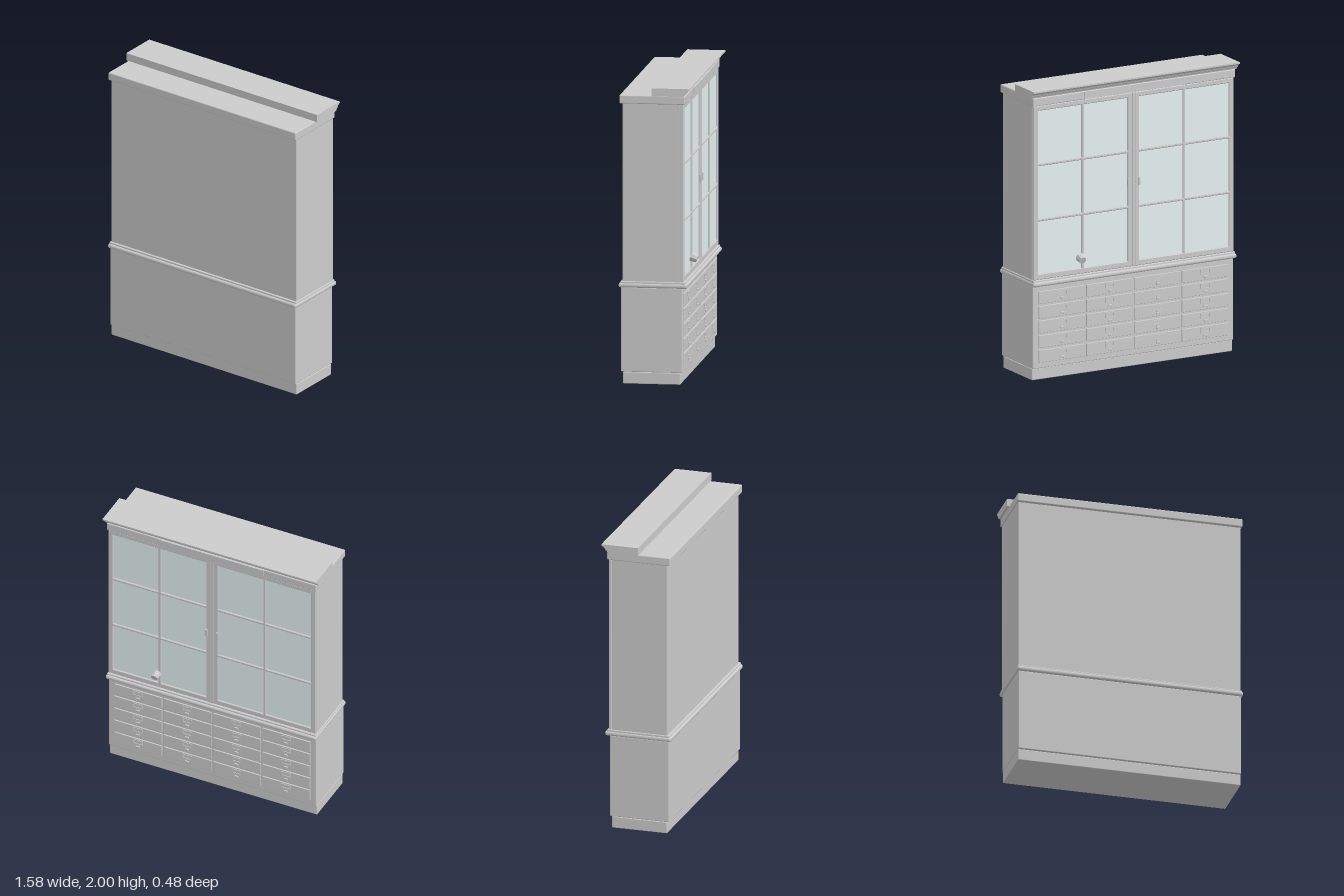
import * as THREE from 'three';
import { RoundedBoxGeometry } from 'three/addons/geometries/RoundedBoxGeometry.js';

const wood = new THREE.MeshStandardMaterial({ color: 0xcccccc });
const glass = new THREE.MeshStandardMaterial({ color: 0xe6f2f2 });

function add(parent, name, geometry, material = wood) {
  const mesh = new THREE.Mesh(geometry, material);
  mesh.name = name;
  parent.add(mesh);
  return mesh;
}

// Block given by its x, y and z ranges, with softened edges when r > 0
function block(parent, name, [x0, x1], [y0, y1], [z0, z1], r = 0, material = wood) {
  const size = [x1 - x0, y1 - y0, z1 - z0];
  const geometry = r ? new RoundedBoxGeometry(...size, 2, r) : new THREE.BoxGeometry(...size);
  const mesh = add(parent, name, geometry, material);
  mesh.position.set((x0 + x1) / 2, (y0 + y1) / 2, (z0 + z1) / 2);
  return mesh;
}

function rectangle(target, x0, x1, y0, y1) {
  target.moveTo(x0, y0).lineTo(x1, y0).lineTo(x1, y1).lineTo(x0, y1).closePath();
  return target;
}

// Glazed door, two panes wide and three high, centred on its own x
function makeDoor() {
  const door = new THREE.Group();
  door.name = 'door';
  const half = 0.379, stile = 0.035, bar = 0.018;
  const bottom = 0.692, top = 1.888, low = 0.73, high = 1.855;
  const frame = rectangle(new THREE.Shape(), -half, half, bottom, top);
  const paneW = (2 * (half - stile) - bar) / 2;
  const paneH = (high - low - 2 * bar) / 3;
  for (let c = 0; c < 2; c++) {
    for (let r = 0; r < 3; r++) {
      const x = -half + stile + c * (paneW + bar);
      const y = low + r * (paneH + bar);
      frame.holes.push(rectangle(new THREE.Path(), x, x + paneW, y, y + paneH));
    }
  }
  const geometry = new THREE.ExtrudeGeometry(frame, {
    depth: 0.014, bevelEnabled: true, bevelThickness: 0.004, bevelSize: 0.004,
    bevelOffset: -0.004, bevelSegments: 1,
  });
  add(door, 'doorFrame', geometry).position.z = -0.193;
  block(door, 'doorGlass', [-half + 0.02, half - 0.02], [low - 0.01, high + 0.01], [-0.186, -0.18], 0, glass);
  return door;
}

// Drawer front with a label holder and a small pull below it
function makeDrawer(width, height) {
  const drawer = new THREE.Group();
  drawer.name = 'drawer';
  const w = width / 2, h = height / 2;
  block(drawer, 'drawerFront', [-w, w], [-h, h], [-0.007, 0.008], 0.003);
  const holder = rectangle(new THREE.Shape(), -0.036, 0.036, 0, 0.034);
  holder.holes.push(rectangle(new THREE.Path(), -0.03, 0.03, 0.006, 0.028));
  add(drawer, 'labelHolder', new THREE.ExtrudeGeometry(holder, { depth: 0.006, bevelEnabled: false }))
    .position.z = -0.011;
  block(drawer, 'pullPlate', [-0.01, 0.01], [-0.03, 0.002], [-0.01, -0.006]);
  block(drawer, 'pull', [-0.014, 0.014], [-0.026, -0.012], [-0.018, -0.009], 0.003);
  return drawer;
}

export function createModel() {
  const cabinet = new THREE.Group();
  cabinet.name = 'cabinet';

  // Carcass
  block(cabinet, 'plinth', [-0.768, 0.768], [0, 0.08], [-0.175, 0.212], 0.006);
  block(cabinet, 'lowerCase', [-0.769, 0.769], [0.08, 0.65], [-0.188, 0.225], 0.006);
  block(cabinet, 'upperCase', [-0.768, 0.768], [0.68, 1.9], [-0.176, 0.214], 0.006);

  // Waist moulding: a thick bead with a thinner fillet on top
  block(cabinet, 'waistBead', [-0.78, 0.78], [0.648, 0.68], [-0.221, 0.241], 0.014);
  block(cabinet, 'waistFillet', [-0.774, 0.774], [0.668, 0.692], [-0.208, 0.228], 0.006);

  // Frieze with a slightly raised middle board
  block(cabinet, 'frieze', [-0.776, 0.776], [1.89, 1.947], [-0.206, 0.235], 0.007);
  block(cabinet, 'friezeBoard', [-0.385, 0.385], [1.894, 1.944], [-0.212, -0.19]);

  // Cornice: moulded profile swept along the width
  const profile = new THREE.Shape();
  profile.moveTo(-0.015, 1.946).lineTo(0.198, 1.946).lineTo(0.203, 1.957).lineTo(0.212, 1.962);
  profile.quadraticCurveTo(0.218, 1.98, 0.232, 1.986);
  profile.lineTo(0.241, 1.99).lineTo(0.241, 2).lineTo(-0.015, 2).closePath();
  const cornice = add(cabinet, 'cornice', new THREE.ExtrudeGeometry(profile, {
    depth: 1.58, bevelEnabled: false, curveSegments: 6,
  }));
  cornice.rotation.y = Math.PI / 2;
  cornice.position.x = -0.79;

  // Pair of doors with lock plates beside the meeting strip
  for (const side of [-1, 1]) {
    const door = makeDoor();
    door.position.x = side * 0.388;
    cabinet.add(door);
    block(cabinet, 'doorLock', [side * 0.04 - 0.008, side * 0.04 + 0.008], [1.245, 1.3], [-0.206, -0.194], 0.003);
  }
  block(cabinet, 'meetingStrip', [-0.011, 0.011], [0.692, 1.888], [-0.199, -0.17], 0.004);

  // Faceted knob tilted downwards near the foot of one door
  const knob = add(cabinet, 'tiltedKnob', new THREE.CylinderGeometry(0.025, 0.032, 0.045, 8),
    new THREE.MeshStandardMaterial({ color: 0xcccccc, flatShading: true }));
  knob.rotation.x = -Math.PI / 2 - 0.36;
  knob.position.set(0.41, 0.8, -0.213);

  // Drawers, four across and five high
  for (let c = 0; c < 4; c++) {
    for (let r = 0; r < 5; r++) {
      const drawer = makeDrawer(0.353, 0.086);
      drawer.position.set((c - 1.5) * 0.366, 0.163 + r * 0.101, -0.189);
      cabinet.add(drawer);
    }
  }
  return cabinet;
}
